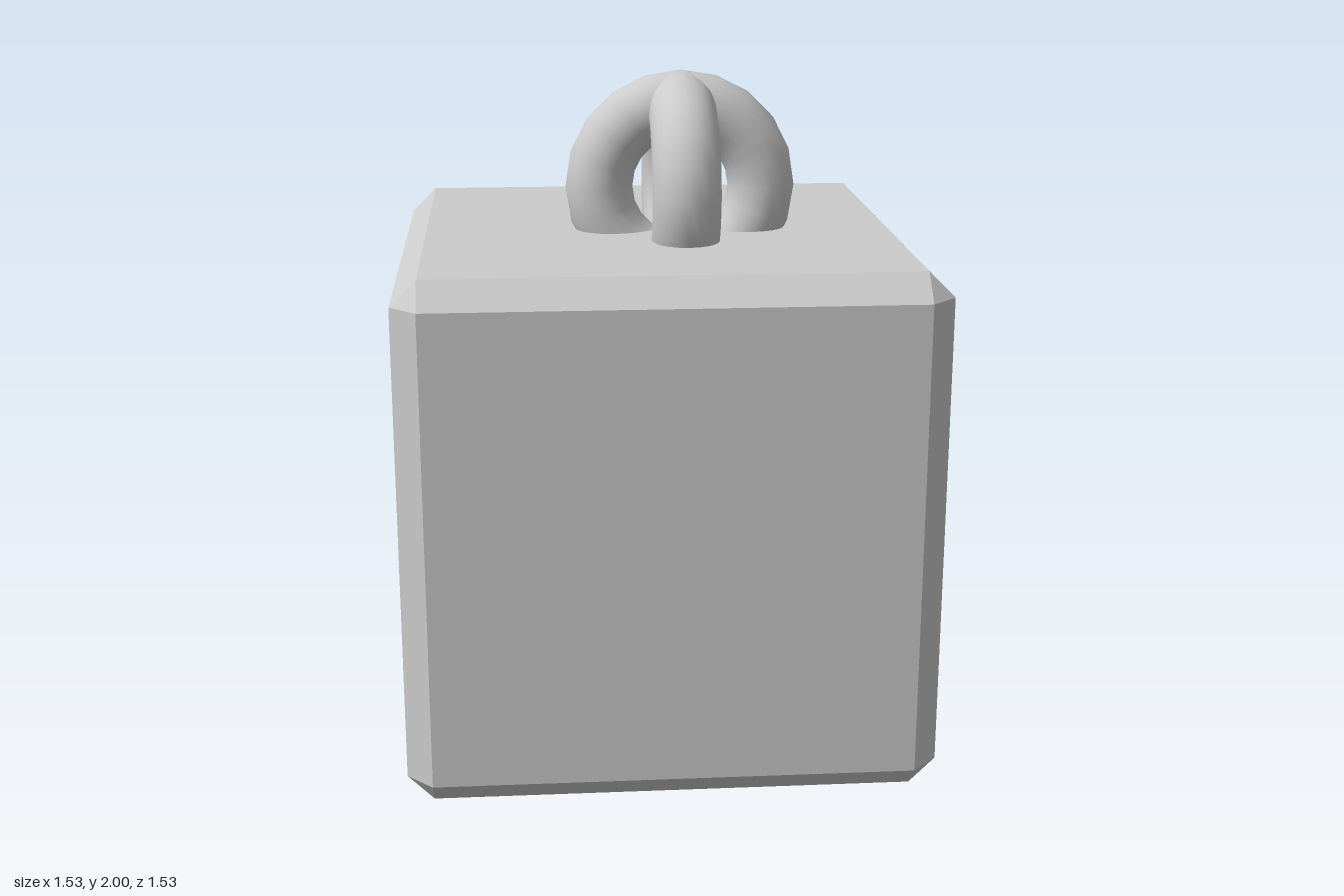
import * as THREE from 'three';
import { ConvexGeometry } from 'three/addons/geometries/ConvexGeometry.js';

const HALF = 0.765;   // half the cube's width
const BEVEL = 0.075;  // chamfer along every edge

// Cube with chamfered edges and triangular corners
function chamferedCube(half, bevel) {
  const inner = half - bevel;
  const points = [];
  for (const x of [-1, 1]) for (const y of [-1, 1]) for (const z of [-1, 1]) {
    points.push(
      new THREE.Vector3(x * half, y * inner, z * inner),
      new THREE.Vector3(x * inner, y * half, z * inner),
      new THREE.Vector3(x * inner, y * inner, z * half)
    );
  }
  return new ConvexGeometry(points);
}

export function createModel() {
  const model = new THREE.Group();
  model.name = 'weightBlock';

  const block = new THREE.Mesh(
    chamferedCube(HALF, BEVEL),
    new THREE.MeshStandardMaterial({ color: 0xcccccc, flatShading: true })
  );
  block.name = 'block';
  block.position.y = HALF;
  model.add(block);

  // Two crossed rings, partly sunk into the top, slightly off centre
  const handle = new THREE.Group();
  handle.name = 'handle';
  handle.position.set(0.07, 1.657, 0.025);
  const ringGeometry = new THREE.TorusGeometry(0.243, 0.1, 20, 20);
  const ringMaterial = new THREE.MeshStandardMaterial({ color: 0xcccccc });
  ['ringAcross', 'ringAlong'].forEach((name, i) => {
    const ring = new THREE.Mesh(ringGeometry, ringMaterial);
    ring.name = name;
    ring.rotation.y = i * Math.PI / 2;
    handle.add(ring);
  });
  model.add(handle);

  return model;
}
